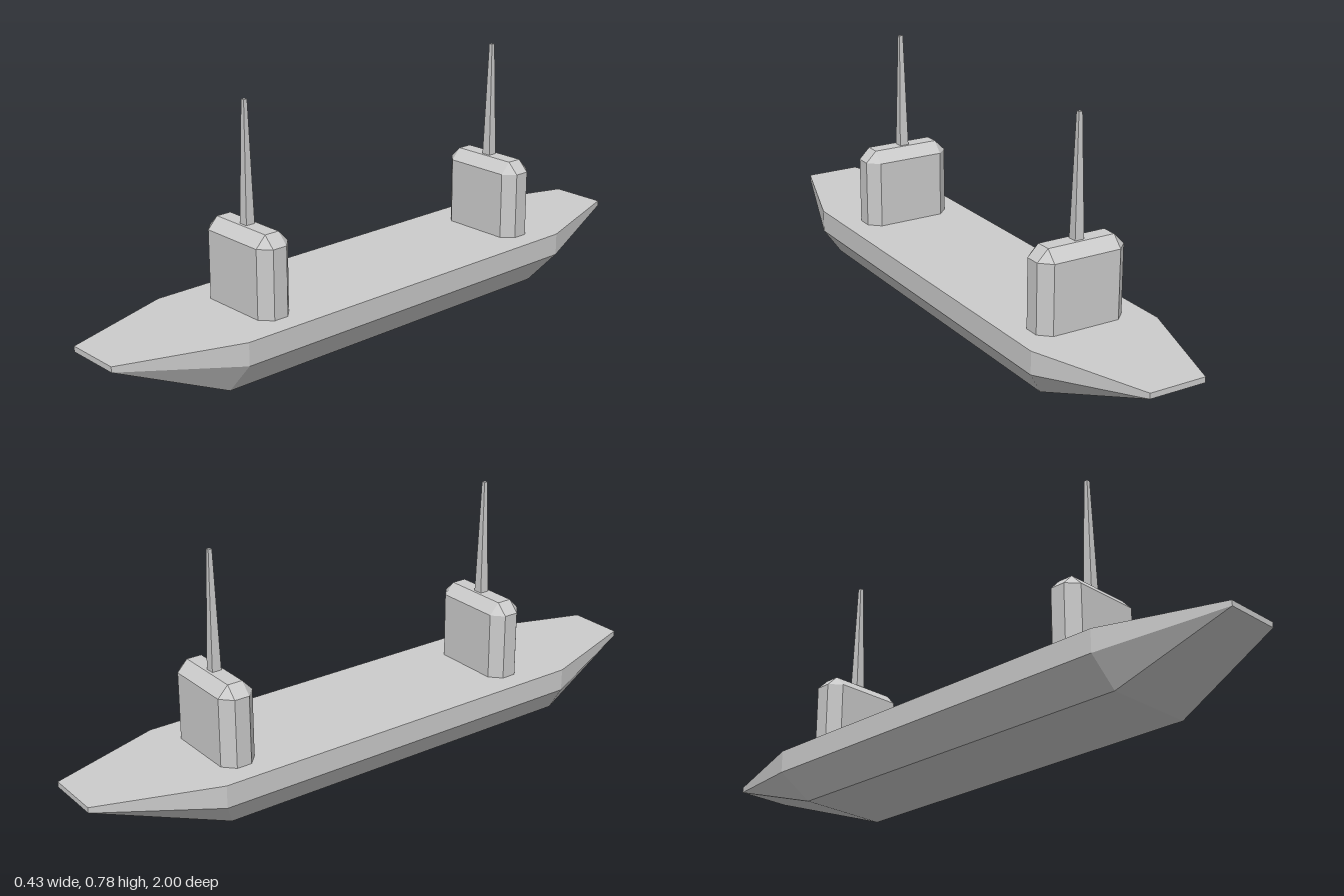
import * as THREE from 'three';
import { ConvexGeometry } from 'three/addons/geometries/ConvexGeometry.js';

const material = new THREE.MeshStandardMaterial({ color: 0xcccccc, flatShading: true });
const DECK = 0.163;

// Faceted solid from points mirrored across x = 0
function mirroredSolid(name, points) {
  const all = points.flatMap(([x, y, z]) => [new THREE.Vector3(x, y, z), new THREE.Vector3(-x, y, z)]);
  const mesh = new THREE.Mesh(new ConvexGeometry(all), material);
  mesh.name = name;
  return mesh;
}

// Hull: flat deck, raked ends, sloped chines and a flat bottom
function createHull() {
  const points = [];
  for (const [end, shoulder, keel] of [[1, 0.637, 0.655], [-1, -0.637, -0.583]]) {
    points.push(
      [0.09, DECK, end], [0.09, 0.146, end],
      [0.213, DECK, shoulder], [0.213, 0.092, shoulder],
      [0.145, 0, keel],
    );
  }
  return mirroredSolid('hull', points);
}

// Tower: chamfered block with a square tapering mast
function createTower(name, z) {
  const tower = new THREE.Group();
  tower.name = name;
  tower.position.z = z;

  const points = [];
  for (const side of [1, -1]) {
    for (const y of [DECK, 0.376]) {
      points.push([0.11, y, side * 0.057], [0.145, y, side * 0.024]);
    }
    points.push([0.11, 0.411, side * 0.024]);
  }
  tower.add(mirroredSolid('towerBlock', points));

  const height = 0.365;
  const mastGeometry = new THREE.CylinderGeometry(0.006 * Math.SQRT2, 0.015 * Math.SQRT2, height, 4);
  mastGeometry.rotateY(Math.PI / 4);
  const mast = new THREE.Mesh(mastGeometry, material);
  mast.name = 'mast';
  mast.position.y = 0.411 + height / 2;
  tower.add(mast);
  return tower;
}

export function createModel() {
  const model = new THREE.Group();
  model.name = 'ship';
  model.add(createHull(), createTower('frontTower', 0.467), createTower('rearTower', -0.535));
  return model;
}
